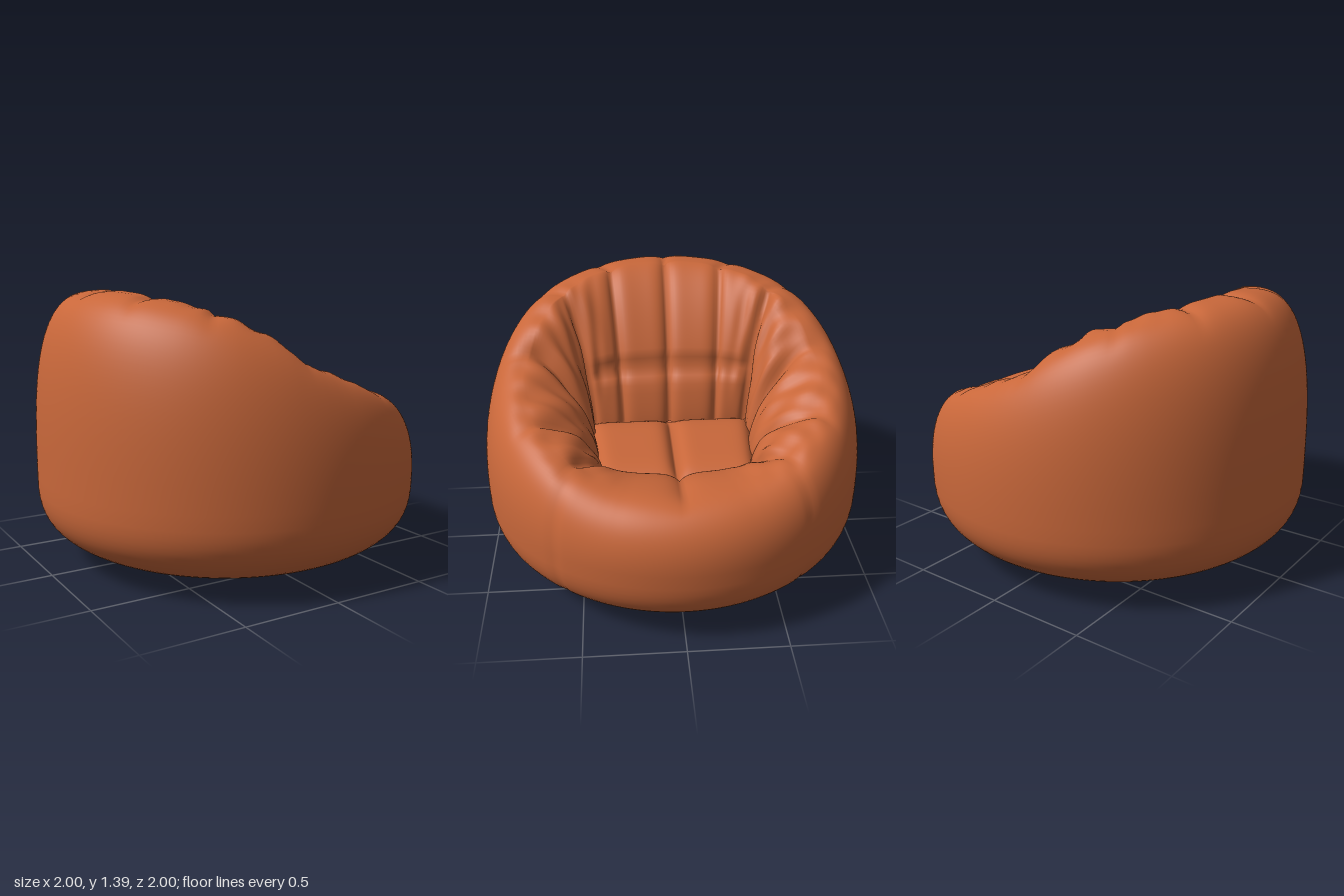
import * as THREE from 'three';

// Per angle from the low front (0) round to the tall back (180), mirrored in z:
// [angle, rim height, rim radius, seat edge x, seat edge z]
const KEYS = [
  [0, 0.745, 0.76, 0.41, 0],
  [28, 0.76, 0.77, 0.41, 0.25],
  [41, 0.83, 0.79, 0.41, 0.36],
  [62, 0.92, 0.79, 0.25, 0.39],
  [90, 1.05, 0.77, 0.03, 0.41],
  [97, 1.13, 0.74, -0.02, 0.41],
  [110, 1.24, 0.71, -0.1, 0.42],
  [125, 1.32, 0.68, -0.18, 0.42],
  [152, 1.38, 0.65, -0.18, 0.26],
  [180, 1.4, 0.63, -0.18, 0],
];
const SEAMS = [0, 41, 62, 95, 125, 152, 180];
const SEAT_Y = 0.59;
const WIDEST_Y = 0.45;

function look(angle, column) {
  const a = Math.abs(angle) > 180 ? 360 - Math.abs(angle) : Math.abs(angle);
  let k = 0;
  while (k < KEYS.length - 2 && a > KEYS[k + 1][0]) k++;
  const t = (a - KEYS[k][0]) / (KEYS[k + 1][0] - KEYS[k][0]);
  return THREE.MathUtils.lerp(KEYS[k][column], KEYS[k + 1][column], t);
}

// Averaged lookup, so the outer skin has no kinks
function smoothLook(angle, column) {
  let sum = 0;
  for (let d = -8; d <= 8; d += 4) sum += look(angle + d, column);
  return sum / 5;
}

// Quarter superellipse: [cos-like, sin-like] for t from 0 to 1
function quarter(t, n) {
  const a = t * Math.PI / 2;
  return [Math.max(0, Math.cos(a)) ** (2 / n), Math.sin(a) ** (2 / n)];
}

// Skin point: v 0..1 underside, 1..2 outer wall, 2..3 inner wall down to the seat
function skinPoint(angle, v) {
  const rad = THREE.MathUtils.degToRad(angle);
  const rimY = smoothLook(angle, 1);
  const rimR = smoothLook(angle, 2);
  const cx = Math.cos(rad), cz = Math.sin(rad);
  if (v <= 1) {
    const [c, s] = quarter(v, 3);
    return [cx * s, WIDEST_Y * (1 - c), cz * s];
  }
  if (v <= 2) {
    // fuller shoulders towards the back
    const [c, s] = quarter(v - 1, 2.4 - 0.4 * cx + 0.25 * cx * cx);
    const r = rimR + (1 - rimR) * c;
    return [cx * r, WIDEST_Y + (rimY - WIDEST_Y) * s, cz * r];
  }
  // reclined back, rounder front
  const [c, s] = quarter(v - 2, 1.7 + 0.2 * cx);
  const ix = look(angle, 3);
  const iz = look(angle, 4) * Math.sign(angle);
  return [
    THREE.MathUtils.lerp(cx * rimR, ix, s),
    SEAT_Y + (rimY - SEAT_Y) * c,
    THREE.MathUtils.lerp(cz * rimR, iz, s),
  ];
}

// How far the cloth sinks at a point: padded panels, seams and folds
function sink(angle, v, y) {
  const { smoothstep } = THREE.MathUtils;
  const a = Math.abs(angle);
  let k = 0;
  while (k < SEAMS.length - 2 && a > SEAMS[k + 1]) k++;
  const u = (a - SEAMS[k]) / (SEAMS[k + 1] - SEAMS[k]);
  const inside = smoothstep(v, 1.6, 2.2);
  const depth = 0.04 * Math.abs(2 * u - 1) ** 5 * inside;

  // fold where the back meets the arms
  const fold = 0.025 * Math.exp(-(((a - 96) / 4) ** 2)) * smoothstep(v, 2, 2.3);
  // cross seam above the lower back roll
  const roll = 0.04 * Math.exp(-(((y - 0.9) / 0.03) ** 2))
    * smoothstep(a, 122, 140) * smoothstep(v, 2.1, 2.3);
  // gathered wrinkles over the arms and shoulders
  const gather = smoothstep(v, 1.75, 2.1) * (1 - smoothstep(v, 2.5, 2.9))
    * smoothstep(a, 20, 45) * (1 - smoothstep(a, 125, 150));
  const wrinkle = 0.006 * gather
    * (Math.sin(angle * 0.57 + v * 7) + Math.sin(angle * 0.31 - v * 11 + 1));
  // faint seams down the outside of the front panel
  const side = 0.006 * Math.exp(-(((a - 38) / 1.5) ** 2))
    * smoothstep(v, 0.55, 0.8) * (1 - inside);
  return depth + fold + roll + wrinkle + side;
}

function skinGeometry() {
  const columns = 240, rows = 72;
  const positions = [], index = [];
  const angleOf = (i) => -180 + (360 * i) / columns;
  const vOf = (j) => (3 * j) / rows;
  for (let j = 0; j <= rows; j++) {
    for (let i = 0; i < columns; i++) {
      positions.push(...skinPoint(angleOf(i), vOf(j)));
      if (j === rows) continue;
      const a = j * columns + i;
      const b = j * columns + ((i + 1) % columns);
      index.push(a, a + columns, b, b, a + columns, b + columns);
    }
  }
  const geometry = new THREE.BufferGeometry();
  geometry.setAttribute('position', new THREE.Float32BufferAttribute(positions, 3));
  geometry.setIndex(index);
  geometry.computeVertexNormals();

  // press the seams and folds in along the normals
  const p = geometry.attributes.position, n = geometry.attributes.normal;
  for (let q = columns; q < p.count; q++) {
    const d = sink(angleOf(q % columns), vOf(Math.floor(q / columns)), p.getY(q));
    p.setXYZ(q, p.getX(q) - n.getX(q) * d, p.getY(q) - n.getY(q) * d, p.getZ(q) - n.getZ(q) * d);
  }
  geometry.computeVertexNormals();
  return geometry;
}

// Two padded seat halves with a seam between them
function seatGeometry() {
  const geometry = new THREE.PlaneGeometry(2, 2, 32, 64).rotateX(-Math.PI / 2);
  const p = geometry.attributes.position;
  for (let i = 0; i < p.count; i++) {
    const x = p.getX(i), z = p.getZ(i);
    const puff = (1 - Math.abs(x) ** 5) * (1 - Math.abs(2 * Math.abs(z) - 1) ** 7);
    p.setXYZ(i, 0.115 + 0.33 * x, SEAT_Y - 0.01 + 0.07 * puff, z * (0.43 - 0.03 * x));
  }
  geometry.computeVertexNormals();
  return geometry;
}

export function createModel() {
  const cloth = new THREE.MeshStandardMaterial({ color: 0xc8673a, side: THREE.DoubleSide });
  cloth.name = 'rust cloth';

  const group = new THREE.Group();
  group.name = 'beanBagChair';

  const body = new THREE.Mesh(skinGeometry(), cloth);
  body.name = 'paddedBody';
  const seat = new THREE.Mesh(seatGeometry(), cloth);
  seat.name = 'seatCushion';
  group.add(body, seat);
  return group;
}
